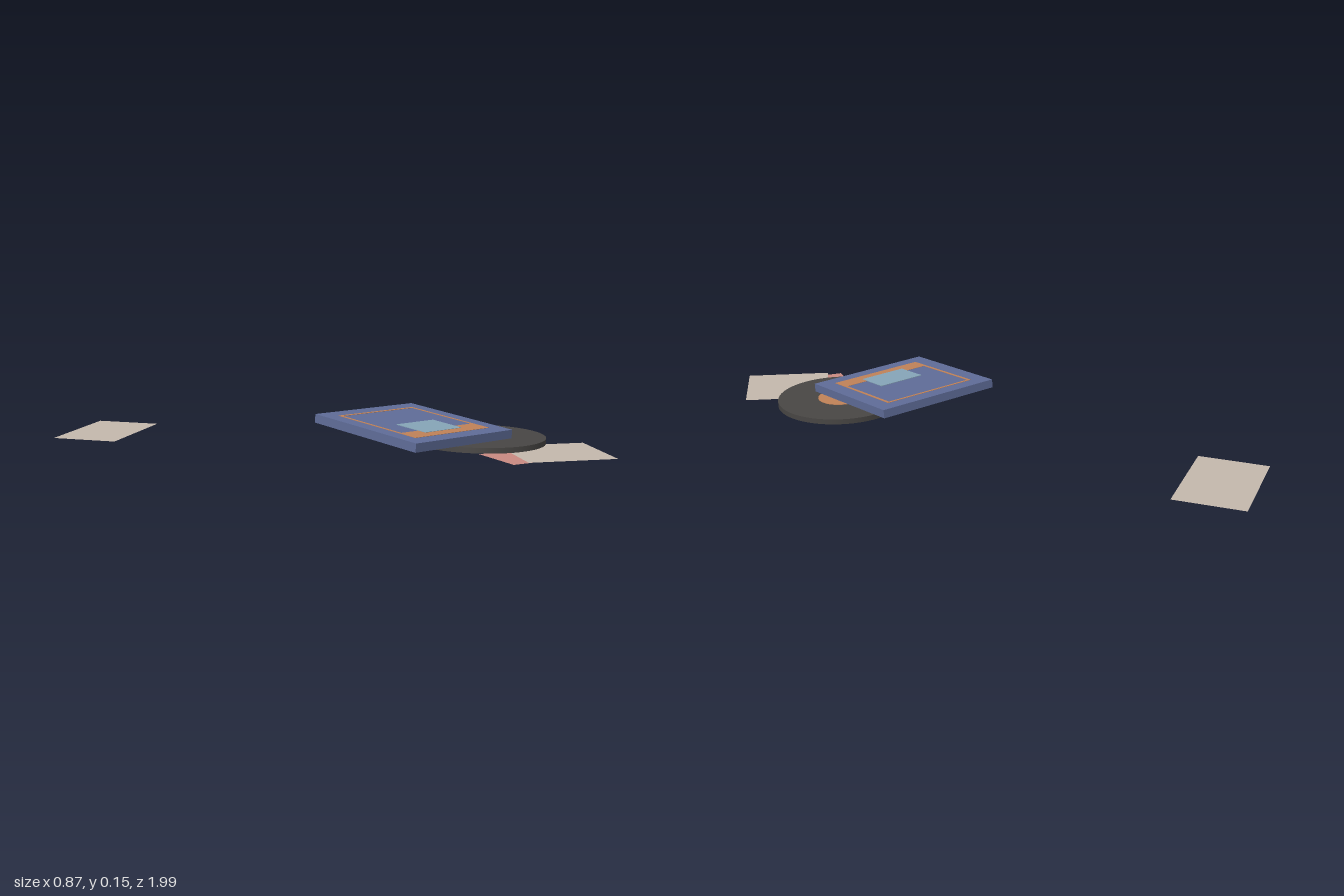
import * as THREE from 'three';

const paint = (color, side = THREE.FrontSide) => new THREE.MeshStandardMaterial({ color, side });

function add(parent, name, geometry, material, x = 0, y = 0, z = 0) {
  const mesh = new THREE.Mesh(geometry, material);
  mesh.name = name;
  mesh.position.set(x, y, z);
  parent.add(mesh);
  return mesh;
}

export function createModel() {
  const model = new THREE.Group();
  model.name = 'recordAndSleeve';

  const blue = paint(0x5f6c98);
  const orange = paint(0xc08258);
  const cyan = paint(0x86a5b8);
  const black = paint(0x484644);
  const paper = paint(0xc4b8ac, THREE.DoubleSide);
  const pink = paint(0xc98a82, THREE.DoubleSide);

  // Loose flat sheets: name, material, width, depth, centre, turn in degrees
  const sheets = [
    ['backSheet', paper, 0.376, 0.238, [-0.218, 0, -0.816], 21.5],
    ['frontSheet', paper, 0.295, 0.274, [0.225, 0.048, 0.799], -40],
    ['pinkCard', pink, 0.257, 0.187, [0.141, 0.044, 0.747], -24.5],
  ];
  for (const [name, material, w, d, [x, y, z], turn] of sheets) {
    const geometry = new THREE.PlaneGeometry(w, d).rotateX(-Math.PI / 2);
    add(model, name, geometry, material, x, y, z).rotation.y = THREE.MathUtils.degToRad(turn);
  }

  // Record with a label showing on both faces
  const record = new THREE.Group();
  record.name = 'record';
  record.position.set(0.212, 0.0625, 0.515);
  record.rotation.z = -0.009;
  add(record, 'disc', new THREE.CylinderGeometry(0.222, 0.222, 0.018, 64), black);
  add(record, 'label', new THREE.CylinderGeometry(0.08, 0.08, 0.021, 48), orange);
  model.add(record);

  // Sleeve leaning on the record, placed by its side and front directions
  const sleeve = new THREE.Group();
  sleeve.name = 'sleeve';
  const ex = new THREE.Vector3(0.45, -0.013, 0.076).normalize();
  const ey = new THREE.Vector3(-0.075, -0.034, 0.452).cross(ex).normalize();
  const ez = ex.clone().cross(ey);
  sleeve.quaternion.setFromRotationMatrix(new THREE.Matrix4().makeBasis(ex, ey, ez));
  sleeve.position.set(0.049, 0.11, 0.364);
  const top = 0.0145;
  add(sleeve, 'sleeveBody', new THREE.BoxGeometry(0.457, 2 * top, 0.459), blue);

  // Cover art: a thin frame with a wide lower band, and a panel on top
  const r = 0.175, t = 0.01;
  const frame = new THREE.Shape([[-r, -r], [r, -r], [r, r], [-r, r]].map((p) => new THREE.Vector2(...p)));
  frame.holes.push(new THREE.Path(
    [[-r + t, -0.105], [-r + t, r - t], [r - t, r - t], [r - t, -0.105]].map((p) => new THREE.Vector2(...p))));
  const frameGeometry = new THREE.ExtrudeGeometry(frame, { depth: 0.001, bevelEnabled: false }).rotateX(-Math.PI / 2);
  add(sleeve, 'coverFrame', frameGeometry, orange, 0, top, 0);
  add(sleeve, 'coverPanel', new THREE.BoxGeometry(0.172, 0.002, 0.127), cyan, -0.003, top + 0.001, 0.073);
  model.add(sleeve);

  return model;
}
